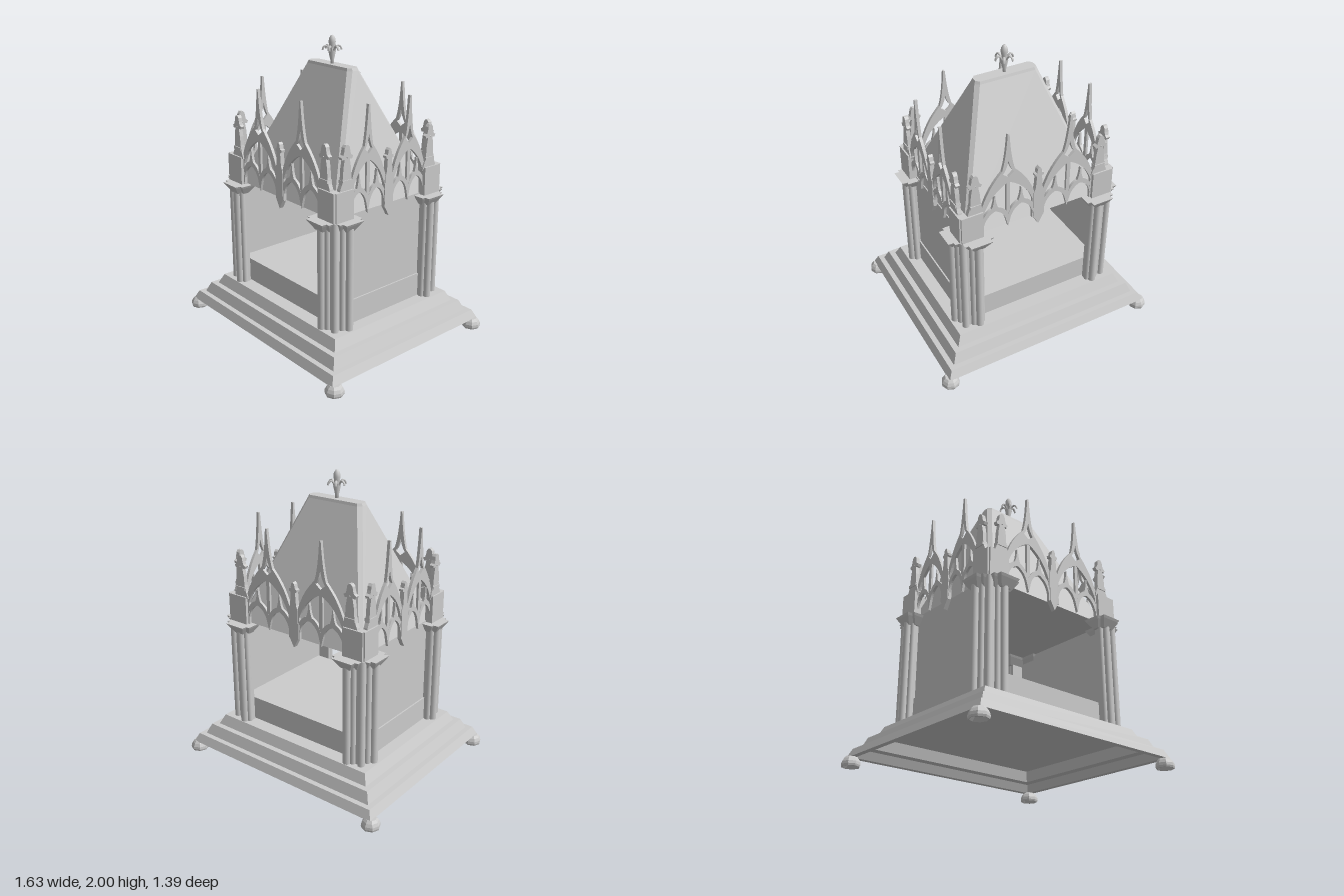
import * as THREE from 'three';

const flat = new THREE.MeshStandardMaterial({ color: 0xcccccc, flatShading: true, side: THREE.DoubleSide });
const smooth = new THREE.MeshStandardMaterial({ color: 0xcccccc, side: THREE.DoubleSide });

function add(parent, name, geometry, x = 0, y = 0, z = 0, material = flat) {
  const mesh = new THREE.Mesh(geometry, material);
  mesh.name = name;
  mesh.position.set(x, y, z);
  parent.add(mesh);
  return mesh;
}

function block(parent, name, x0, x1, y0, y1, z0, z1) {
  return add(parent, name, new THREE.BoxGeometry(Math.abs(x1 - x0), y1 - y0, Math.abs(z1 - z0)),
    (x0 + x1) / 2, (y0 + y1) / 2, (z0 + z1) / 2);
}

// Rectangle at height y, with optional cut corners, counterclockwise from above
function ring(hx, hz, y, cut = 0, cx = 0, cz = 0) {
  const p = cut
    ? [[hx, hz - cut], [hx, cut - hz], [hx - cut, -hz], [cut - hx, -hz], [-hx, cut - hz], [-hx, hz - cut], [cut - hx, hz], [hx - cut, hz]]
    : [[hx, hz], [hx, -hz], [-hx, -hz], [-hx, hz]];
  return p.map(([x, z]) => [x + cx, y, z + cz]);
}

// Skin a stack of rings and close both ends
function loft(rings) {
  const n = rings[0].length, pos = [];
  const tri = (a, b, c) => pos.push(...a, ...b, ...c);
  for (let r = 0; r < rings.length - 1; r++) {
    for (let i = 0; i < n; i++) {
      const j = (i + 1) % n, lo = rings[r], hi = rings[r + 1];
      tri(lo[i], lo[j], hi[j]);
      tri(lo[i], hi[j], hi[i]);
    }
  }
  const first = rings[0], last = rings[rings.length - 1];
  for (let i = 1; i < n - 1; i++) {
    tri(first[0], first[i + 1], first[i]);
    tri(last[0], last[i], last[i + 1]);
  }
  const g = new THREE.BufferGeometry();
  g.setAttribute('position', new THREE.Float32BufferAttribute(pos, 3));
  g.computeVertexNormals();
  return g;
}

function slab(shape, depth) {
  const g = new THREE.ExtrudeGeometry(shape, { depth, bevelEnabled: false, curveSegments: 8 });
  return g.translate(0, 0, -depth / 2);
}

// Symmetric flat plate from its right-hand outline, listed bottom to top
function plate(half, depth) {
  const right = half.map(([x, y]) => new THREE.Vector2(x, y));
  const left = half.filter(([x]) => x > 0).reverse().map(([x, y]) => new THREE.Vector2(-x, y));
  return slab(new THREE.Shape([...right, ...left]), depth);
}

// Large ogee gable running up into a spire, open below a pointed arch
function gableShape(w) {
  const s = new THREE.Shape();
  s.moveTo(-w, 0.99);
  s.lineTo(-w, 1.19);
  s.bezierCurveTo(-w * 0.78, 1.31, -w * 0.5, 1.37, -w * 0.24, 1.42);
  s.quadraticCurveTo(-0.018, 1.5, -0.006, 1.675);
  s.lineTo(0.006, 1.675);
  s.quadraticCurveTo(0.018, 1.5, w * 0.24, 1.42);
  s.bezierCurveTo(w * 0.5, 1.37, w * 0.78, 1.31, w, 1.19);
  s.lineTo(w, 0.99);
  s.lineTo(w * 0.93, 0.99);
  s.lineTo(w * 0.93, 1.14);
  s.quadraticCurveTo(w * 0.66, 1.28, 0, 1.335);
  s.quadraticCurveTo(-w * 0.66, 1.28, -w * 0.93, 1.14);
  s.lineTo(-w * 0.93, 0.99);
  const eye = new THREE.Path();
  eye.moveTo(0, 1.49);
  eye.quadraticCurveTo(-0.01, 1.435, -w * 0.2, 1.4);
  eye.lineTo(0, 1.37);
  eye.lineTo(w * 0.2, 1.4);
  eye.quadraticCurveTo(0.01, 1.435, 0, 1.49);
  s.holes.push(eye);
  return s;
}

// Small ogee arch with its own spike; its legs narrow to hanging points
function subArchShape(w) {
  const s = new THREE.Shape();
  s.moveTo(-w, 0.99);
  s.lineTo(-w, 1.09);
  s.quadraticCurveTo(-w * 0.7, 1.15, -w * 0.25, 1.165);
  s.quadraticCurveTo(-0.008, 1.19, -0.003, 1.26);
  s.lineTo(0.003, 1.26);
  s.quadraticCurveTo(0.008, 1.19, w * 0.25, 1.165);
  s.quadraticCurveTo(w * 0.7, 1.15, w, 1.09);
  s.lineTo(w, 0.99);
  s.lineTo(w * 0.8, 1.06);
  s.quadraticCurveTo(w * 0.6, 1.12, 0, 1.14);
  s.quadraticCurveTo(-w * 0.6, 1.12, -w * 0.8, 1.06);
  s.lineTo(-w, 0.99);
  return s;
}

// One side's canopy: two bays, a hanging centre pinnacle and two end pinnacles
function canopy(bayX, w, pinnacleX, distance, angle) {
  const g = new THREE.Group();
  g.name = 'canopySide';
  for (const s of [-1, 1]) {
    add(g, 'gable', slab(gableShape(w), 0.02), s * bayX, 0, distance);
    block(g, 'mullion', s * bayX - 0.013, s * bayX + 0.013, 1.06, 1.35, distance - 0.008, distance + 0.008);
    for (const t of [-1, 1]) {
      add(g, 'smallArch', slab(subArchShape(w * 0.5), 0.018), s * bayX + t * w * 0.5, 0, distance);
    }
    add(g, 'cornerPinnacle', plate([
      [0.058, 1.17], [0.054, 1.19], [0.042, 1.22], [0.034, 1.26], [0.03, 1.32], [0.02, 1.375], [0.038, 1.372],
      [0.046, 1.39], [0.03, 1.4], [0.024, 1.42], [0.02, 1.445], [0.008, 1.46]], 0.028), s * pinnacleX, 0, distance + 0.005);
    add(g, 'crocket', new THREE.OctahedronGeometry(0.02), s * pinnacleX, 1.385, distance + 0.005);
    add(g, 'pinnacleCollar', new THREE.BoxGeometry(0.075, 0.02, 0.04), s * pinnacleX, 1.235, distance + 0.005);
  }
  add(g, 'centrePinnacle', plate([
    [0, 0.93], [0.036, 0.995], [0.036, 1.19], [0.024, 1.22], [0.018, 1.305], [0.03, 1.31], [0.032, 1.325],
    [0.018, 1.33], [0.012, 1.36], [0, 1.372]], 0.03), 0, 0, distance);
  g.rotation.y = angle;
  return g;
}

// Corner pier: thin L-shaped core, shafts on the two outer faces, capitals and the block above
function corner(sx, sz) {
  const g = new THREE.Group();
  g.name = 'cornerPier';
  const cx = 0.447, cz = 0.355;
  block(g, 'pierFront', sx * 0.405, sx * 0.545, 0.25, 0.99, sz * 0.415, sz * 0.45);
  block(g, 'pierSide', sx * 0.505, sx * 0.545, 0.25, 0.99, sz * 0.315, sz * 0.416);
  const shafts = [[cx, 0.473, 0.026], [0.42, 0.45, 0.02], [0.478, 0.45, 0.022],
    [0.574, cz, 0.026], [0.547, 0.33, 0.02], [0.547, 0.388, 0.022], [0.538, 0.443, 0.024]];
  for (const [x, z, r] of shafts) {
    add(g, 'shaft', new THREE.CylinderGeometry(r, r, 0.74, 16), sx * x, 0.62, sz * z, smooth);
  }
  const caps = [[cx, 0.438, 0.1, 0.06], [cx, 0.455, 0.075, 0.077],
    [0.53, cz, 0.06, 0.092], [0.548, cz, 0.077, 0.07]];
  for (const [x, z, hx, hz] of caps) {
    add(g, 'capital', loft([
      ring(hx - 0.04, hz - 0.04, 0.925, 0, sx * x, sz * z),
      ring(hx - 0.008, hz - 0.008, 0.975, 0, sx * x, sz * z),
      ring(hx, hz, 0.99, 0, sx * x, sz * z)]));
  }
  block(g, 'cornerBlockFront', sx * 0.4, sx * 0.55, 0.99, 1.18, sz * 0.415, sz * 0.463);
  block(g, 'cornerBlockSide', sx * 0.505, sx * 0.56, 0.99, 1.18, sz * 0.31, sz * 0.45);
  return g;
}

function finial() {
  const g = new THREE.Group();
  g.name = 'finial';
  const profile = [[0, 1.81], [0.011, 1.81], [0.012, 1.84], [0.025, 1.895], [0.018, 1.91], [0.018, 1.93],
    [0.024, 1.955], [0.02, 1.98], [0.009, 1.998], [0, 2]].map(([x, y]) => new THREE.Vector2(x, y));
  add(g, 'budAndStem', new THREE.LatheGeometry(profile, 12), 0, 0, 0, smooth);
  for (let i = 0; i < 6; i++) {
    const curve = new THREE.CubicBezierCurve3(
      new THREE.Vector3(0.012, 1.88, 0), new THREE.Vector3(0.025, 1.945, 0),
      new THREE.Vector3(0.055, 1.945, 0), new THREE.Vector3(0.062, 1.905, 0));
    const petal = add(g, 'petal', new THREE.TubeGeometry(curve, 8, 0.006, 6), 0, 0, 0, smooth);
    petal.scale.z = 1.6;
    petal.rotation.y = i * Math.PI / 3;
  }
  return g;
}

export function createModel() {
  const model = new THREE.Group();
  model.name = 'canopiedShrine';

  // Stepped base, hollow underneath
  const steps = [[0.63, 0.184], [0.65, 0.114], [0.71, 0.114], [0.735, 0.062], [0.772, 0.062], [0.745, 0.12],
    [0.71, 0.12], [0.68, 0.19], [0.642, 0.19], [0.61, 0.258]];
  add(model, 'steppedBase', loft(steps.map(([w, y]) => ring(w, w - 0.108, y))));

  // Feet with hollow undersides, corner piers
  const foot = [[0, 0.03], [0.035, 0.022], [0.052, 0], [0.058, 0], [0.062, 0.012], [0.06, 0.03], [0.05, 0.05],
    [0.036, 0.066], [0, 0.066]].map(([x, y]) => new THREE.Vector2(x, y));
  for (const sx of [-1, 1]) {
    for (const sz of [-1, 1]) {
      add(model, 'foot', new THREE.LatheGeometry(foot, 8), sx * 0.754, 0, sz * 0.632);
      model.add(corner(sx, sz));
    }
    // Solid end walls
    block(model, 'endWall', sx * 0.495, sx * 0.515, 0.25, 1, -0.416, 0.416);
  }
  block(model, 'plinth', -0.525, 0.525, 0.25, 0.42, -0.405, 0.405);

  // Steep roof with cut hips and a flat ridge
  add(model, 'roof', loft([ring(0.512, 0.418, 0.99, 0.02), ring(0.22, 0.048, 1.8, 0.025), ring(0.212, 0.042, 1.818, 0.022)]));
  model.add(finial());

  // Tracery on all four sides
  for (const k of [0, 1]) {
    model.add(canopy(0.217, 0.187, 0.447, 0.433, k * Math.PI));
    model.add(canopy(0.175, 0.148, 0.357, 0.53, Math.PI / 2 + k * Math.PI));
  }
  return model;
}
